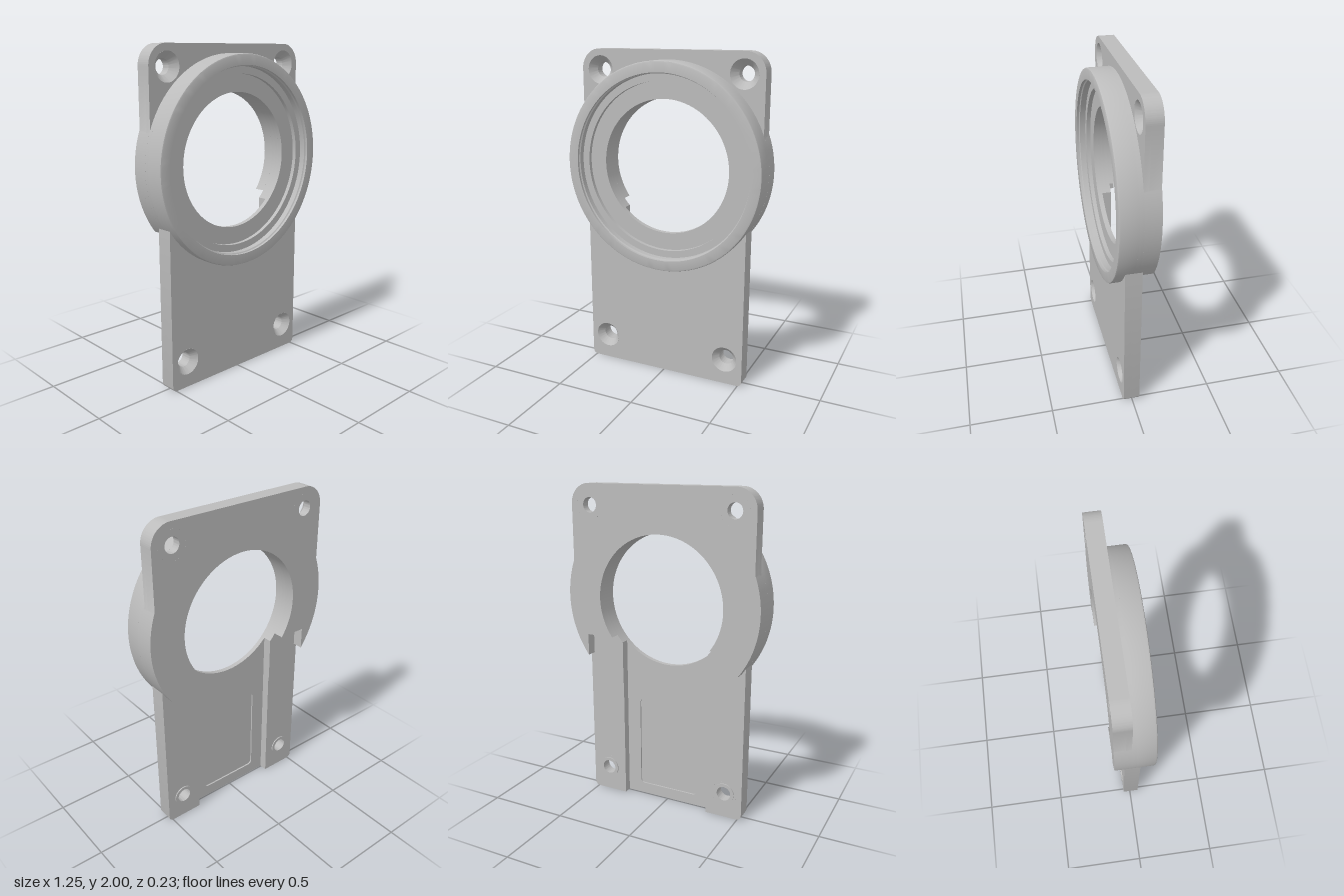
import * as THREE from 'three';
import { toCreasedNormals } from 'three/addons/utils/BufferGeometryUtils.js';

const CY = 1.32;      // ring centre height
const RO = 0.625;     // ring outer radius
const RI = 0.405;     // ring bore radius
const HW = 0.585;     // half width of the upper flange
const SCREWS_TOP = [[-0.46, 1.875], [0.46, 1.875]];
const SCREWS_LOW = [[-0.41, 0.16], [0.41, 0.16]];

export function createModel() {
  const group = new THREE.Group();
  const grey = new THREE.MeshStandardMaterial({ color: 0xbcbcbc });
  grey.name = 'grey';

  const add = (name, geometry, x = 0, y = 0) => {
    const mesh = new THREE.Mesh(toCreasedNormals(geometry, 0.5), grey);
    mesh.name = name;
    mesh.position.set(x, y, 0);
    group.add(mesh);
  };

  // Flat slab between two depths
  const slab = (name, shape, z0, z1) => {
    const g = new THREE.ExtrudeGeometry(shape, { depth: z1 - z0, bevelEnabled: false, curveSegments: 48 });
    g.translate(0, 0, z0);
    add(name, g);
  };

  // Solid of revolution about z; profile points are [radius, z], counterclockwise
  const turned = (name, profile, x, y, segments) => {
    const g = new THREE.LatheGeometry(profile.map(p => new THREE.Vector2(...p)), segments);
    g.rotateX(Math.PI / 2);
    add(name, g, x, y);
  };

  const punch = (shape, centres, r) => {
    for (const [x, y] of centres) {
      shape.holes.push(new THREE.Path().absarc(x, y, r, 0, Math.PI * 2, true));
    }
    return shape;
  };

  // Ring outline, open at the bottom by a slot, optionally joined to the flange
  const ringOutline = (slotHalf, slotTop, flange) => {
    const s = new THREE.Shape();
    const bottom = CY - Math.sqrt(RO * RO - slotHalf * slotHalf);
    const a0 = Math.atan2(bottom - CY, slotHalf);
    s.moveTo(slotHalf, bottom);
    if (flange) {
      const a1 = Math.acos(HW / RO), c = 0.12;
      s.absarc(0, CY, RO, a0, a1, false);
      s.lineTo(HW, 2 - c);
      s.absarc(HW - c, 2 - c, c, 0, Math.PI / 2, false);
      s.lineTo(c - HW, 2);
      s.absarc(c - HW, 2 - c, c, Math.PI / 2, Math.PI, false);
      s.lineTo(-HW, CY + RO * Math.sin(a1));
      s.absarc(0, CY, RO, Math.PI - a1, Math.PI - a0, false);
    } else {
      s.absarc(0, CY, RO, a0, Math.PI - a0, false);
    }
    const dy = slotTop - CY;
    const xi = Math.sqrt(RI * RI - dy * dy);
    const b = Math.atan2(dy, xi);
    if (slotHalf - xi > 0.001) s.lineTo(-slotHalf, slotTop);
    s.lineTo(-xi, slotTop);
    s.absarc(0, CY, RI, Math.PI - b, b, true);
    if (slotHalf - xi > 0.001) s.lineTo(slotHalf, slotTop);
    if (flange) punch(s, SCREWS_TOP, 0.085);
    return s;
  };

  // Lower plate from x0 to x1, its top edge hidden inside the ring
  const plateOutline = (x0, x1, r0, r1) => {
    const R = 0.6;
    const angle = x => Math.atan2(-Math.sqrt(R * R - x * x), x);
    const s = new THREE.Shape();
    s.moveTo(x0 + r0, 0);
    s.lineTo(x1 - r1, 0);
    if (r1) s.absarc(x1 - r1, r1, r1, -Math.PI / 2, 0, false);
    s.lineTo(x1, CY + R * Math.sin(angle(x1)));
    s.absarc(0, CY, R, angle(x1), angle(x0), true);
    s.lineTo(x0, r0);
    if (r0) s.absarc(x0 + r0, r0, r0, Math.PI, Math.PI * 1.5, false);
    return s;
  };

  // Flange and the rear of the ring
  const channel = 0.29;
  const channelTop = CY - Math.sqrt(RI * RI - channel * channel);
  slab('rearFlange', ringOutline(0.5, 1.08, true), -0.115, -0.05);
  slab('frontFlange', ringOutline(channel, channelTop, true), -0.05, -0.02);
  slab('ringRear', ringOutline(channel, channelTop, false), -0.02, 0.005);

  // Stepped front ring with a slightly eased rim
  turned('ringFront', [
    [RI, 0.005], [RO, 0.005], [RO, 0.105], [RO - 0.003, 0.112], [RO - 0.01, 0.115],
    [0.56, 0.115], [0.56, 0.1], [0.553, 0.095], [0.553, 0.06],
    [0.51, 0.06], [0.51, 0.035], [RI, 0.035], [RI, 0.005],
  ], 0, CY, 128);

  // Lower plate, with a shallow rounded pocket on its back
  const w = 0.525, c = 0.03;
  slab('lowerPlate', punch(plateOutline(-w, w, c, c), SCREWS_LOW, 0.08), 0.015, 0.055);
  const backSkin = punch(plateOutline(-w, w, c, c), SCREWS_LOW, 0.08);
  const pocket = new THREE.Path();
  const px = 0.2, y0 = 0.07, y1 = 0.66, pr = 0.025;
  pocket.absarc(px - pr, y0 + pr, pr, -Math.PI / 2, 0, false);
  pocket.absarc(px - pr, y1 - pr, pr, 0, Math.PI / 2, false);
  pocket.absarc(pr - px, y1 - pr, pr, Math.PI / 2, Math.PI, false);
  pocket.absarc(pr - px, y0 + pr, pr, Math.PI, Math.PI * 1.5, false);
  pocket.closePath();
  backSkin.holes.push(pocket);
  slab('pocketedBack', backSkin, 0.005, 0.015);

  // Raised rails either side of the back channel
  slab('leftRail', punch(plateOutline(channel, w, 0, c), [SCREWS_LOW[1]], 0.08), -0.045, 0.005);
  slab('rightRail', punch(plateOutline(-w, -channel, c, 0), [SCREWS_LOW[0]], 0.08), -0.045, 0.005);

  // Countersunk screw holes; the lower ones have small bosses behind
  for (const [x, y] of SCREWS_TOP) {
    turned('upperScrewHole', [
      [0.045, -0.115], [0.085, -0.115], [0.085, -0.02], [0.045, -0.065], [0.045, -0.115],
    ], x, y, 48);
  }
  for (const [x, y] of SCREWS_LOW) {
    turned('lowerScrewHole', [
      [0.045, -0.052], [0.065, -0.052], [0.065, -0.045], [0.08, -0.045],
      [0.08, 0.055], [0.045, 0.015], [0.045, -0.052],
    ], x, y, 48);
  }
  return group;
}
